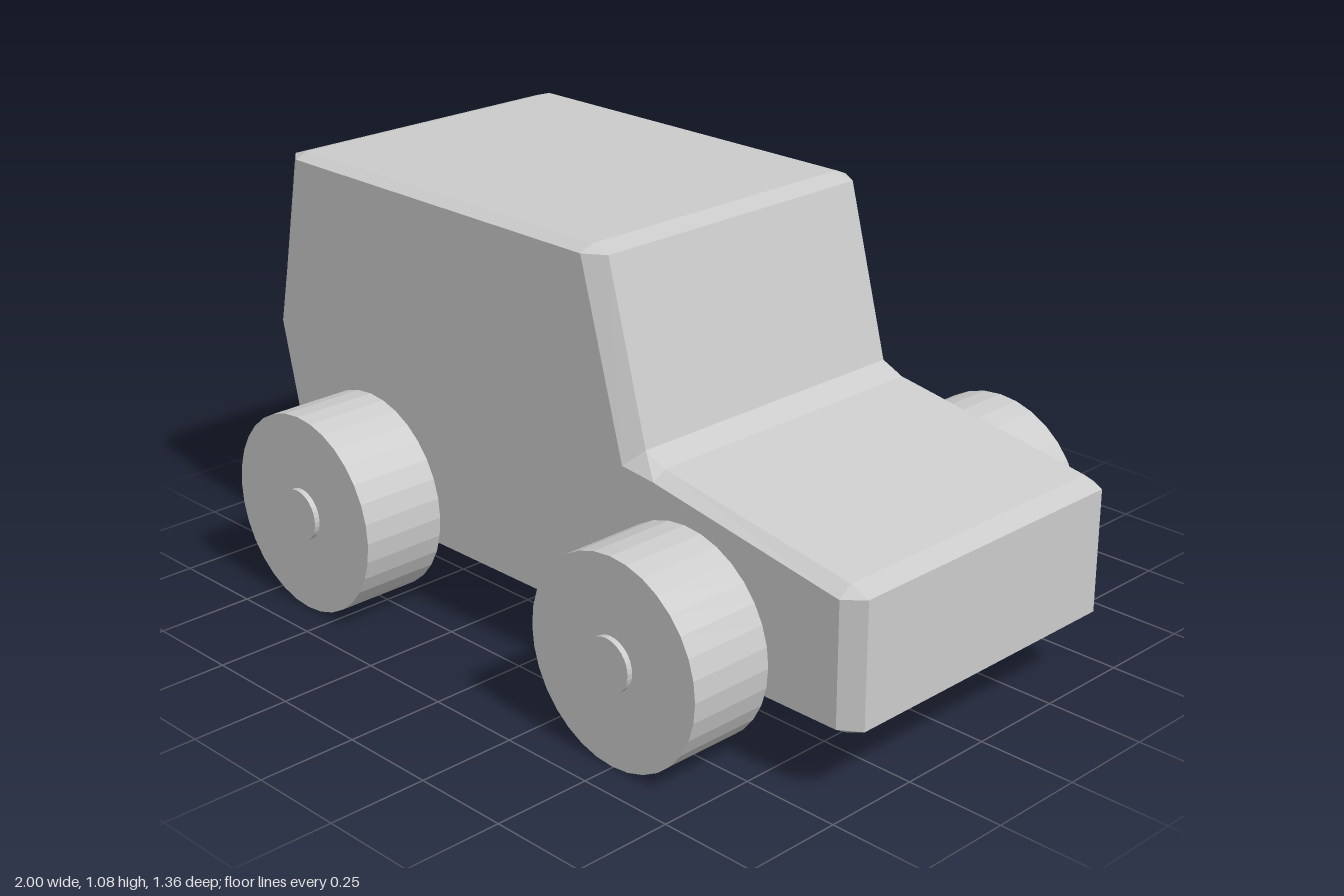
import * as THREE from 'three';

const material = new THREE.MeshStandardMaterial({ color: 0xcccccc, flatShading: true });

// Side outline, counter-clockwise: [point on the flat side, points on the bevelled rim...]
const OUTLINE = [
  [[-0.86, 0.185], [-0.91, 0.185], [-0.86, 0.165]], // rear bottom
  [[0.95, 0.185], [0.95, 0.165], [1.0, 0.185]],     // nose bottom
  [[0.95, 0.49], [1.0, 0.495], [0.95, 0.515]],      // nose top
  [[0.40, 0.583], [0.40, 0.605]],                   // bonnet start
  [[0.30, 0.593], [0.34, 0.632]],                   // windscreen foot
  [[0.172, 1.06], [0.225, 1.06], [0.172, 1.075]],   // roof front
  [[-0.86, 1.06], [-0.86, 1.075], [-0.91, 1.06]],   // roof rear
  [[-0.957, 0.615], [-1.0, 0.615]],                 // tailgate bend
];

// Body shell: four cross-sections along z, joined in loops, closed by two flat sides
function bodyGeometry(sideZ, rimZ, offsetZ) {
  const side = [], rim = [];
  for (const [s, ...rims] of OUTLINE) {
    for (const r of rims) {
      side.push(s);
      rim.push(r);
    }
  }
  const rings = [[side, sideZ], [rim, rimZ], [rim, -rimZ], [side, -sideZ]]
    .map(([pts, z]) => pts.map(([x, y]) => new THREE.Vector3(x, y, z + offsetZ)));
  const positions = [];
  const tri = (a, b, c) => {
    if (a.equals(b) || b.equals(c) || a.equals(c)) return;
    for (const p of [a, b, c]) positions.push(p.x, p.y, p.z);
  };
  for (let k = 0; k < 3; k++) {
    const near = rings[k], far = rings[k + 1], n = near.length;
    for (let i = 0; i < n; i++) {
      const j = (i + 1) % n;
      tri(near[i], far[i], far[j]);
      tri(near[i], far[j], near[j]);
    }
  }
  const flat = OUTLINE.map(([s]) => new THREE.Vector2(...s));
  const at = (i, z) => new THREE.Vector3(flat[i].x, flat[i].y, z + offsetZ);
  for (const [a, b, c] of THREE.ShapeUtils.triangulateShape(flat, [])) {
    tri(at(a, sideZ), at(b, sideZ), at(c, sideZ));
    tri(at(c, -sideZ), at(b, -sideZ), at(a, -sideZ));
  }
  const geometry = new THREE.BufferGeometry();
  geometry.setAttribute('position', new THREE.Float32BufferAttribute(positions, 3));
  geometry.computeVertexNormals();
  return geometry;
}

// Cylinder lying along z
function cylinder(name, radius, length, x, z) {
  const geometry = new THREE.CylinderGeometry(radius, radius, length, 32).rotateX(Math.PI / 2);
  const mesh = new THREE.Mesh(geometry, material);
  mesh.name = name;
  mesh.position.set(x, 0.256, z);
  return mesh;
}

export function createModel() {
  const model = new THREE.Group();
  model.name = 'toyCar';

  const body = new THREE.Mesh(bodyGeometry(0.438, 0.403, 0.004), material);
  body.name = 'body';
  model.add(body);

  // Each axle runs through the body and pokes out of its two wheels
  for (const [name, x] of [['noseWheels', 0.497], ['tailWheels', -0.605]]) {
    const pair = new THREE.Group();
    pair.name = name;
    pair.add(cylinder('axle', 0.066, 1.36, x, 0));
    for (const s of [1, -1]) pair.add(cylinder('wheel', 0.256, 0.225, x, s * 0.5535));
    model.add(pair);
  }
  return model;
}
